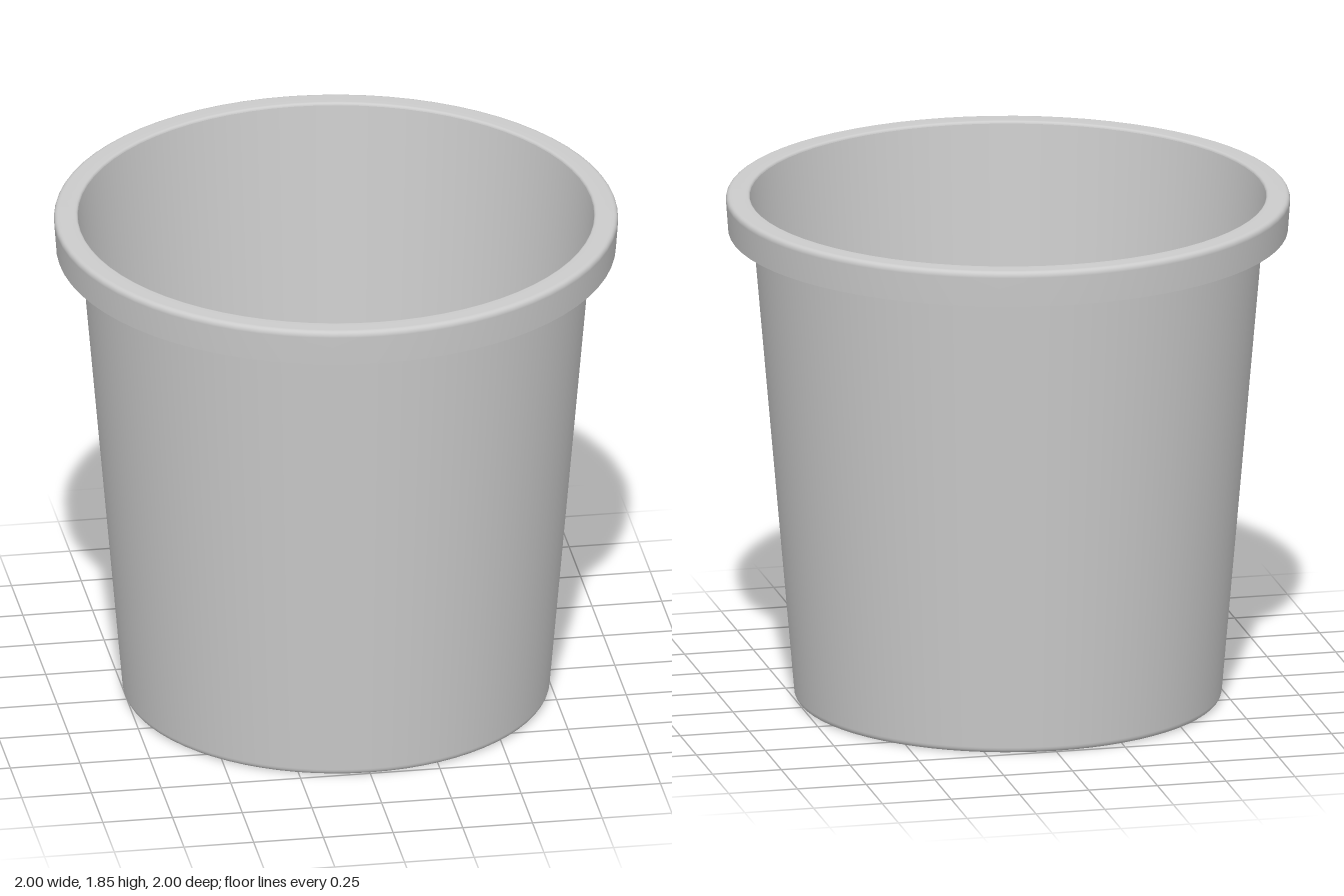
import * as THREE from 'three';

const SEGMENTS = 72;

// Rounded corner at (cx, cy), entered and left at the given points
function corner(path, [ax, ay], [cx, cy], [bx, by]) {
  path.lineTo(ax, ay);
  path.quadraticCurveTo(cx, cy, bx, by);
}

function lathe(name, path, material) {
  const mesh = new THREE.Mesh(new THREE.LatheGeometry(path.getPoints(6), SEGMENTS), material);
  mesh.name = name;
  return mesh;
}

export function createModel() {
  const material = new THREE.MeshStandardMaterial({ color: 0xcccccc, side: THREE.DoubleSide });
  const group = new THREE.Group();
  group.name = 'tub';

  // Raised floor panel, foot ring and tapered wall as one thin shell
  const body = new THREE.Path();
  body.moveTo(0, 0.05);
  corner(body, [0.625, 0.05], [0.64, 0.05], [0.644, 0.038]);
  corner(body, [0.652, 0.012], [0.656, 0], [0.672, 0]);
  corner(body, [0.735, 0], [0.755, 0], [0.757, 0.022]);
  body.lineTo(0.914, 1.836);
  group.add(lathe('body', body, material));

  // Rolled rim with a thin skirt, open underneath
  const rim = new THREE.Path();
  rim.moveTo(0.914, 1.836);
  rim.quadraticCurveTo(0.916, 1.845, 0.927, 1.845);
  corner(rim, [0.978, 1.845], [0.999, 1.845], [0.999, 1.823]);
  rim.lineTo(0.991, 1.715);
  group.add(lathe('rim', rim, material));

  return group;
}
